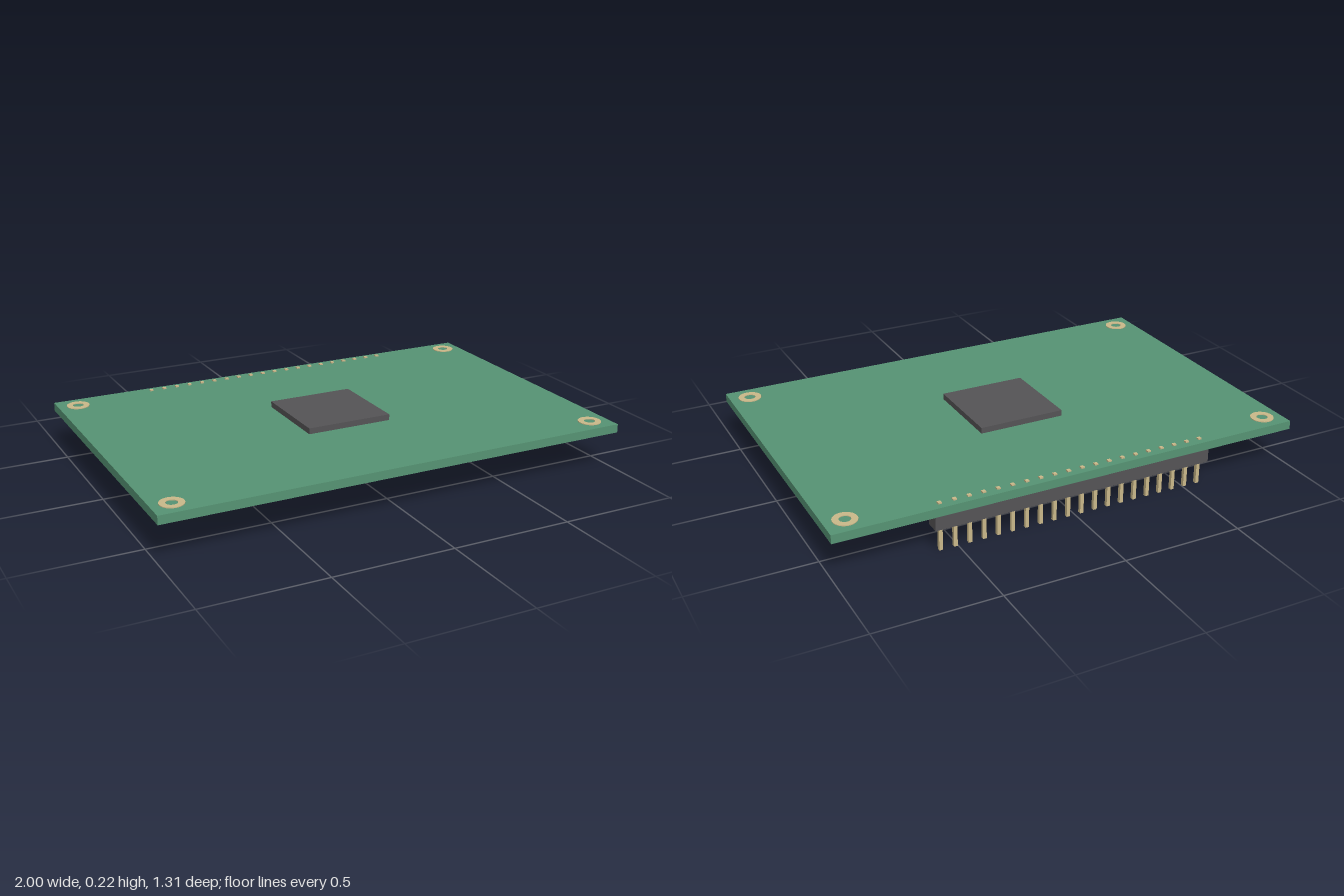
import * as THREE from 'three';

const material = (name, color) => {
  const m = new THREE.MeshStandardMaterial({ color });
  m.name = name;
  return m;
};

export function createModel() {
  const green = material('board green', 0x569474);
  const dark = material('dark plastic', 0x555456);
  const gold = material('pale gold', 0xcbb98a);

  const group = new THREE.Group();
  group.name = 'circuitBoard';
  const add = (name, geometry, mat, x, y, z) => {
    const mesh = new THREE.Mesh(geometry, mat);
    mesh.name = name;
    mesh.position.set(x, y, z);
    group.add(mesh);
    return mesh;
  };
  // Box given by its bottom and top heights
  const box = (name, mat, w, bottom, top, d, x = 0, z = 0) =>
    add(name, new THREE.BoxGeometry(w, top - bottom, d), mat, x, (bottom + top) / 2, z);

  const boardTop = 0.196;
  box('board', green, 2, 0.16, boardTop, 1.314);
  box('chip', dark, 0.37, boardTop, 0.221, 0.37);

  // Pin header under the back edge
  const headerZ = -0.622;
  box('headerBody', dark, 1.2, 0.1, 0.16, 0.057, 0, headerZ);
  for (let i = 0; i < 20; i++) {
    box('headerPin', gold, 0.015, 0, 0.202, 0.015, (i - 9.5) * 0.06, headerZ);
  }

  // Thin ring pads at the four corners
  const ring = new THREE.Shape().absarc(0, 0, 0.048, 0, Math.PI * 2, false);
  ring.holes.push(new THREE.Path().absarc(0, 0, 0.023, 0, Math.PI * 2, true));
  const pad = new THREE.ExtrudeGeometry(ring, { depth: 0.003, bevelEnabled: false, curveSegments: 16 });
  pad.rotateX(-Math.PI / 2);
  for (const x of [-1, 1]) {
    for (const z of [-1, 1]) add('mountingPad', pad, gold, x * 0.917, boardTop, z * 0.576);
  }

  return group;
}
